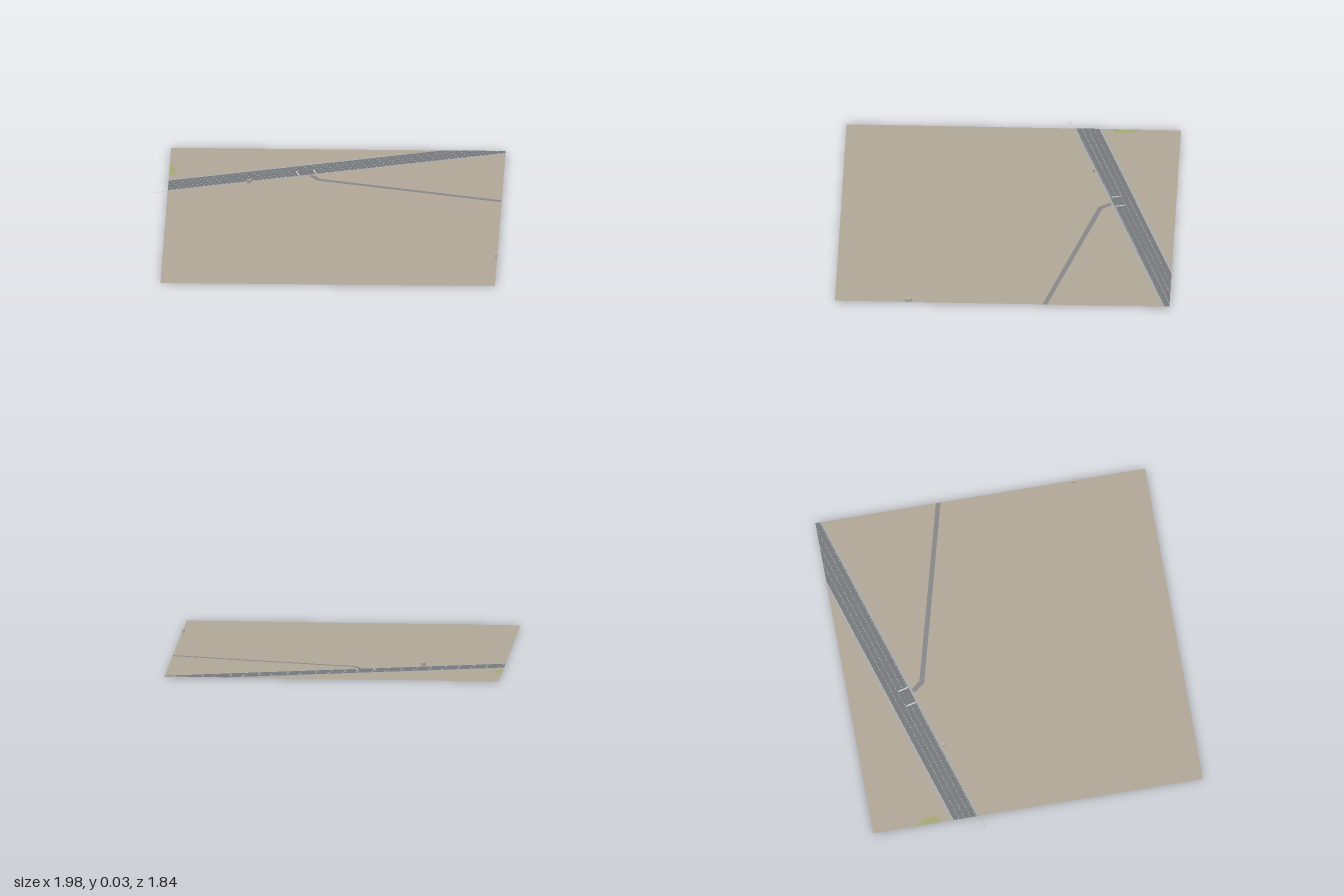
import * as THREE from 'three';

const SLOPE = 0.3;            // the highway runs along z = c - SLOPE * x
const EDGE = 0.915, BACK = -0.912;
const groundY = x => 0.0045 + 0.0036 * x;

export function createModel() {
  const model = new THREE.Group();
  const mat = color => new THREE.MeshStandardMaterial({ color, side: THREE.DoubleSide });

  // Flat polygons given as [x, z] corners, laid on the gently tilted site
  function flat(name, polygons, lift, material) {
    const shapes = polygons.map(p => new THREE.Shape(p.map(([x, z]) => new THREE.Vector2(x, -z))));
    const geo = new THREE.ShapeGeometry(shapes).rotateX(-Math.PI / 2);
    const pos = geo.attributes.position;
    for (let i = 0; i < pos.count; i++) pos.setY(i, groundY(pos.getX(i)) + lift);
    geo.computeVertexNormals();
    const mesh = new THREE.Mesh(geo, material);
    mesh.name = name;
    model.add(mesh);
  }

  // Strip parallel to the highway between offsets c0 and c1, cut at the back edge
  function strip(c0, c1, x0 = -EDGE, x1 = EDGE, back = BACK) {
    const limit = c => Math.min(x1, (c - back) / SLOPE);
    const a = limit(c0), b = limit(c1);
    const pts = [[x0, c0 - SLOPE * x0], [a, c0 - SLOPE * a]];
    if (a < x1 && b === x1) pts.push([x1, back]);
    pts.push([b, c1 - SLOPE * b], [x0, c1 - SLOPE * x0]);
    return pts;
  }

  const asphalt = mat(0x76797c), paint = mat(0xdcdcdc), shoulder = mat(0xa9aaa8);

  // Ground and grass patch
  flat('ground', [[[-EDGE, BACK], [EDGE, BACK], [EDGE, 0.918], [-EDGE, 0.918]]], 0, mat(0xb0a797));
  flat('grassPatch', [[[-EDGE, -0.69], [-0.87, -0.6], [-0.88, -0.555], [-EDGE, -0.54]]], 0.0005, mat(0xa5a875));

  // Highway with light shoulders
  flat('highway', [strip(-0.74, -0.611)], 0.001, asphalt);
  flat('shoulders', [strip(-0.753, -0.74), strip(-0.611, -0.598)], 0.001, shoulder);

  // Side road, mitred at its bend, and the junction apron
  const w = 0.013;
  flat('sideRoad', [[
    [-0.168, -0.575], [-0.142, -0.582], [-0.088, -0.511], [EDGE, -0.23 - w],
    [EDGE, -0.23 + w], [-0.103, -0.487]
  ]], 0.0007, mat(0x878789));
  flat('junction', [strip(-0.672, -0.611, -0.21, -0.122)], 0.0018, asphalt);

  // Dashed lane lines, running a little past the site
  const dashes = [];
  for (const c of [-0.741, -0.709, -0.678, -0.646, -0.615]) {
    for (let x = -0.995; x < 0.99; x += 0.017) {
      const inJunction = c > -0.675 && x > -0.22 && x < -0.115;
      if (!inJunction && c - SLOPE * (x + 0.01) > -0.926) {
        dashes.push(strip(c - 0.001, c + 0.001, x, x + 0.01, -2));
      }
    }
  }
  flat('laneDashes', dashes, 0.0015, paint);

  // Stop lines either side of the junction
  const stops = [-0.22, -0.128].map(x => [
    [x - 0.004, -0.672 - SLOPE * x], [x + 0.004, -0.674 - SLOPE * x],
    [x + 0.019, -0.618 - SLOPE * x], [x + 0.011, -0.616 - SLOPE * x]
  ]);
  flat('stopLines', stops, 0.0022, paint);

  // Thin outer kerb lines
  flat('kerbLines', [
    strip(-0.759, -0.757, -EDGE, 0.56, -0.926), strip(-0.597, -0.595, -0.99, EDGE)
  ], 0.0012, shoulder);

  // Small roadside huts
  function hut(name, x, z, width, depth, turn) {
    const mesh = new THREE.Mesh(new THREE.BoxGeometry(width, 0.02, depth), mat(0xb9b4aa));
    mesh.position.set(x, groundY(x) + 0.0095, z);
    mesh.rotation.y = turn;
    mesh.name = name;
    model.add(mesh);
  }
  hut('roadsideHut', -0.475, -0.448, 0.024, 0.011, 0.29);
  hut('edgeHut', 0.908, 0.518, 0.012, 0.034, 0);

  return model;
}
